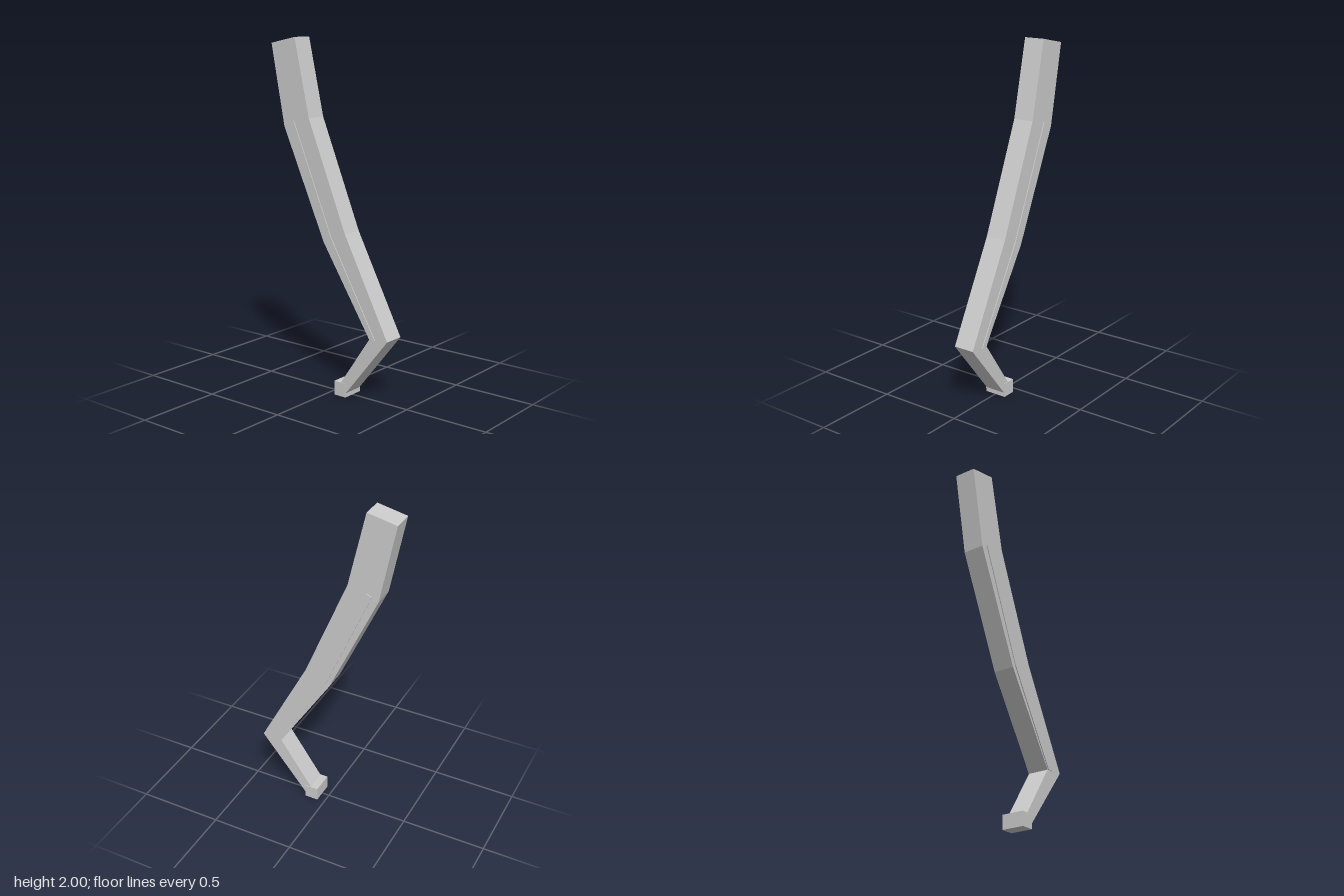
import * as THREE from 'three';

const material = new THREE.MeshStandardMaterial({ color: 0xcccccc, flatShading: true });

// Extrude a side outline to the given thickness, centred on z = 0
function slab(name, points, thickness) {
  const shape = new THREE.Shape(points.map(([x, y]) => new THREE.Vector2(x, y)));
  const geometry = new THREE.ExtrudeGeometry(shape, { depth: thickness, bevelEnabled: false });
  geometry.translate(0, 0, -thickness / 2);
  const mesh = new THREE.Mesh(geometry, material);
  mesh.name = name;
  return mesh;
}

export function createModel() {
  const group = new THREE.Group();
  group.name = 'bentLeg';

  // Tapering bent leg from the top cut, past the knee, down into the foot
  group.add(slab('leg', [
    [-0.41, 1.965], [-0.32, 1.505], [-0.035, 0.875], [0.287, 0.372], [0.075, 0.06],
    [0.115, 0.012], [0.125, 0.025], [0.408, 0.38], [0.115, 0.94], [-0.14, 1.56], [-0.24, 2],
  ], 0.125));

  // Narrow raised rib, standing slightly proud of both faces
  group.add(slab('rib', [
    [-0.282, 1.525], [-0.012, 0.885], [0.292, 0.373], [0.328, 0.373], [0.022, 0.905], [-0.248, 1.54],
  ], 0.135));

  // Small foot block
  group.add(slab('foot', [[0.045, 0], [0.125, 0], [0.125, 0.082], [0.045, 0.082]], 0.133));

  return group;
}
